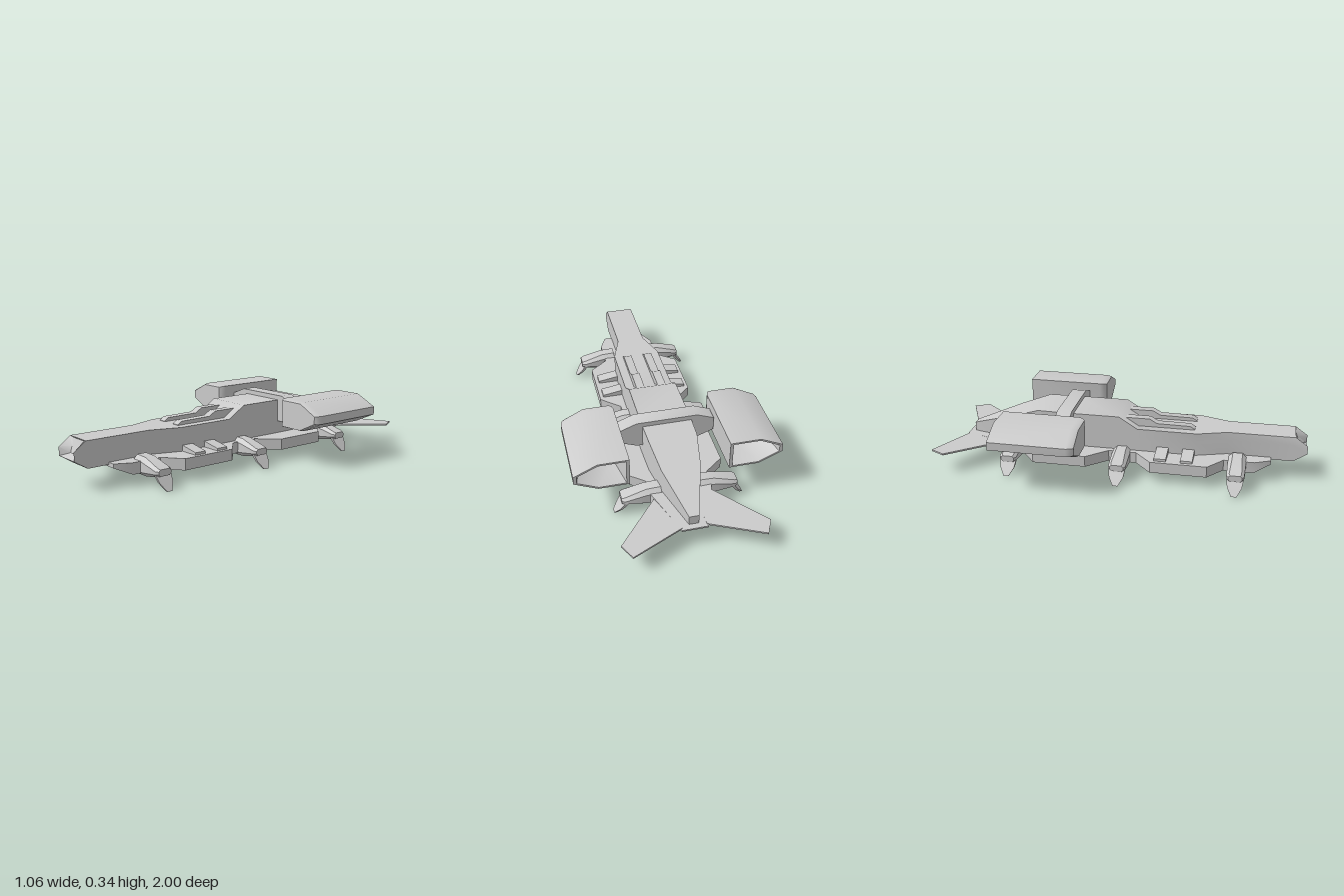
import * as THREE from 'three';
import { toCreasedNormals } from 'three/addons/utils/BufferGeometryUtils.js';

const material = new THREE.MeshStandardMaterial({ color: 0xcccccc });

// Skin over rings of [x, y, z] points, each counter-clockwise seen from ahead, with closed ends
function loft(rings) {
  const n = rings[0].length, pos = [];
  const tri = (a, b, c) => pos.push(...a, ...b, ...c);
  for (let r = 0; r < rings.length - 1; r++) {
    const a = rings[r], b = rings[r + 1];
    for (let i = 0; i < n; i++) {
      const j = (i + 1) % n;
      tri(a[i], a[j], b[j]);
      tri(a[i], b[j], b[i]);
    }
  }
  const first = rings[0], last = rings[rings.length - 1];
  for (let i = 1; i < n - 1; i++) {
    tri(first[0], first[i + 1], first[i]);
    tri(last[0], last[i], last[i + 1]);
  }
  const g = new THREE.BufferGeometry();
  g.setAttribute('position', new THREE.Float32BufferAttribute(pos, 3));
  return g;
}

// Mirror a non-indexed geometry across x = 0, keeping its faces outward
function mirrored(geo) {
  const g = geo.clone(), p = g.attributes.position.array;
  for (let i = 0; i < p.length; i += 9) {
    for (let k = 0; k < 3; k++) [p[i + 3 + k], p[i + 6 + k]] = [p[i + 6 + k], p[i + 3 + k]];
    for (let k = 0; k < 9; k += 3) p[i + k] *= -1;
  }
  return g;
}

// Rectangle with cut corners, centred on x = 0
function chamferRing(w, y0, y1, z, c) {
  return [[w - c, y0, z], [w, y0 + c, z], [w, y1 - c, z], [w - c, y1, z],
    [c - w, y1, z], [-w, y1 - c, z], [-w, y0 + c, z], [c - w, y0, z]];
}

export function createModel() {
  const model = new THREE.Group();
  const add = (name, geo) => {
    const flat = geo.index ? geo.toNonIndexed() : geo;
    const mesh = new THREE.Mesh(toCreasedNormals(flat, 0.6), material);
    mesh.name = name;
    model.add(mesh);
  };
  const addPair = (name, geo) => {
    const g = geo.index ? geo.toNonIndexed() : geo;
    add(name + 'Left', g);
    add(name + 'Right', mirrored(g));
  };

  // Fuselage, ending in a nose with a sunken window
  const body = (w, y0, ym, y1, z0, zm = z0, z1 = z0) => [[w, y0, z0], [w, ym, zm], [w, y1, z1],
    [-w, y1, z1], [-w, ym, zm], [-w, y0, z0]];
  add('fuselage', loft([
    body(0.025, 0.11, 0.14, 0.165, -0.86),
    body(0.1, 0.11, 0.18, 0.255, -0.61),
    body(0.125, 0.11, 0.2, 0.31, -0.45),
    body(0.13, 0.11, 0.2, 0.31, -0.3),
    body(0.13, 0.11, 0.2, 0.31, 0),
    body(0.13, 0.11, 0.2, 0.247, 0.1),
    body(0.13, 0.11, 0.2, 0.247, 0.42),
    body(0.077, 0.11, 0.2, 0.247, 0.58),
    body(0.077, 0.11, 0.2, 0.247, 0.93),
    body(0.075, 0.155, 0.2, 0.247, 1, 1, 0.935),
    [[0.032, 0.172, 0.96], [0.042, 0.205, 0.945], [0.05, 0.24, 0.93],
      [-0.05, 0.24, 0.93], [-0.042, 0.205, 0.945], [-0.032, 0.172, 0.96]],
  ]));

  // Lower hull: half width, underside, top and z of each station
  const hull = [
    [0.065, 0.106, 0.115, -0.89], [0.16, 0.064, 0.122, -0.62], [0.16, 0.062, 0.122, -0.53],
    [0.26, 0.062, 0.122, -0.45], [0.26, 0.062, 0.122, -0.16], [0.16, 0.062, 0.122, -0.05],
    [0.16, 0.062, 0.122, 0.1], [0.26, 0.062, 0.122, 0.19], [0.26, 0.062, 0.122, 0.49],
    [0.16, 0.062, 0.122, 0.57], [0.16, 0.062, 0.122, 0.73], [0.12, 0.1, 0.122, 0.815],
  ];
  add('lowerHull', loft(hull.map(([w, y0, y1, z]) =>
    [[w, y0, z], [w, y1, z], [-w, y1, z], [-w, y0, z]])));

  // Cross beam carrying the engines
  const beam = z => [[0.16, 0.19], [0.25, 0.225], [0.25, 0.3], [0.16, 0.335],
    [-0.16, 0.335], [-0.25, 0.3], [-0.25, 0.225], [-0.16, 0.19]].map(([x, y]) => [x, y, z]);
  add('engineBeam', loft([beam(-0.33), beam(-0.25)]));

  // Engines with open rear ends
  const outline = [[0.253, 0.19], [0.41, 0.19], [0.53, 0.245], [0.53, 0.288], [0.41, 0.345], [0.253, 0.345]];
  const engine = (s, z, sy = s) => outline.map(([x, y]) =>
    [0.39 + (x - 0.39) * s, 0.267 + (y - 0.267) * sy, z]);
  addPair('engine', loft([
    engine(0.6, -0.44), engine(0.88, -0.6), engine(1, -0.6),
    engine(1, -0.19), engine(0.95, -0.165, 0.98), engine(0.86, -0.152, 0.92),
  ]));

  // Stepped strips on the back
  const strip = new THREE.Shape([[0.02, 0.23], [0.02, 0.291], [0.16, 0.291], [0.2, 0.268],
    [0.38, 0.266], [0.405, 0.25], [0.405, 0.23]].map(p => new THREE.Vector2(-p[0], p[1])));
  const stripGeo = new THREE.ExtrudeGeometry(strip, { depth: 0.045, bevelEnabled: false });
  stripGeo.rotateY(Math.PI / 2).translate(0.037, 0, 0);
  addPair('backStrip', stripGeo);

  // Small sloping blocks on the sides
  for (const z of [0.24, 0.38]) {
    const block = s => [[0.1, 0.11], [0.24, 0.11], [0.24, 0.135], [0.1, 0.158]]
      .map(([x, y]) => [x, y, z + s * 0.032]);
    addPair('sideBlock', loft([block(-1), block(1)]));
  }

  // Landing gear: pod and tapered foot at three stations
  const slab = (x, y, t, d) => [[x + t, y, d], [x + t, y, -d], [x - t, y, -d], [x - t, y, d]];
  for (const z of [0.64, 0.02, -0.58]) {
    const pod = loft([
      chamferRing(0.048, 0.045, 0.143, 0.1, 0.022),
      chamferRing(0.048, 0.045, 0.14, 0.175, 0.022),
      chamferRing(0.046, 0.066, 0.11, 0.285, 0.014),
      chamferRing(0.036, 0.071, 0.105, 0.3, 0.01),
    ]);
    addPair('gearPod', pod.rotateY(Math.PI / 2).translate(0, 0, z));
    const foot = loft([
      slab(0.33, 0.003, 0.007, 0.014),
      slab(0.302, 0.042, 0.008, 0.038),
      slab(0.277, 0.078, 0.009, 0.044),
    ]);
    addPair('gearFoot', foot.translate(0, 0, z));
  }

  // Thin swept tail fins
  const fin = new THREE.Shape([[0.05, 0.6], [0.15, 0.66], [0.365, 0.92], [0.325, 1], [0.06, 0.875]]
    .map(p => new THREE.Vector2(...p)));
  const finGeo = new THREE.ExtrudeGeometry(fin, { depth: 0.009, bevelEnabled: false });
  finGeo.rotateX(-Math.PI / 2).translate(0, 0.108, 0);
  addPair('tailFin', finGeo);

  return model;
}
